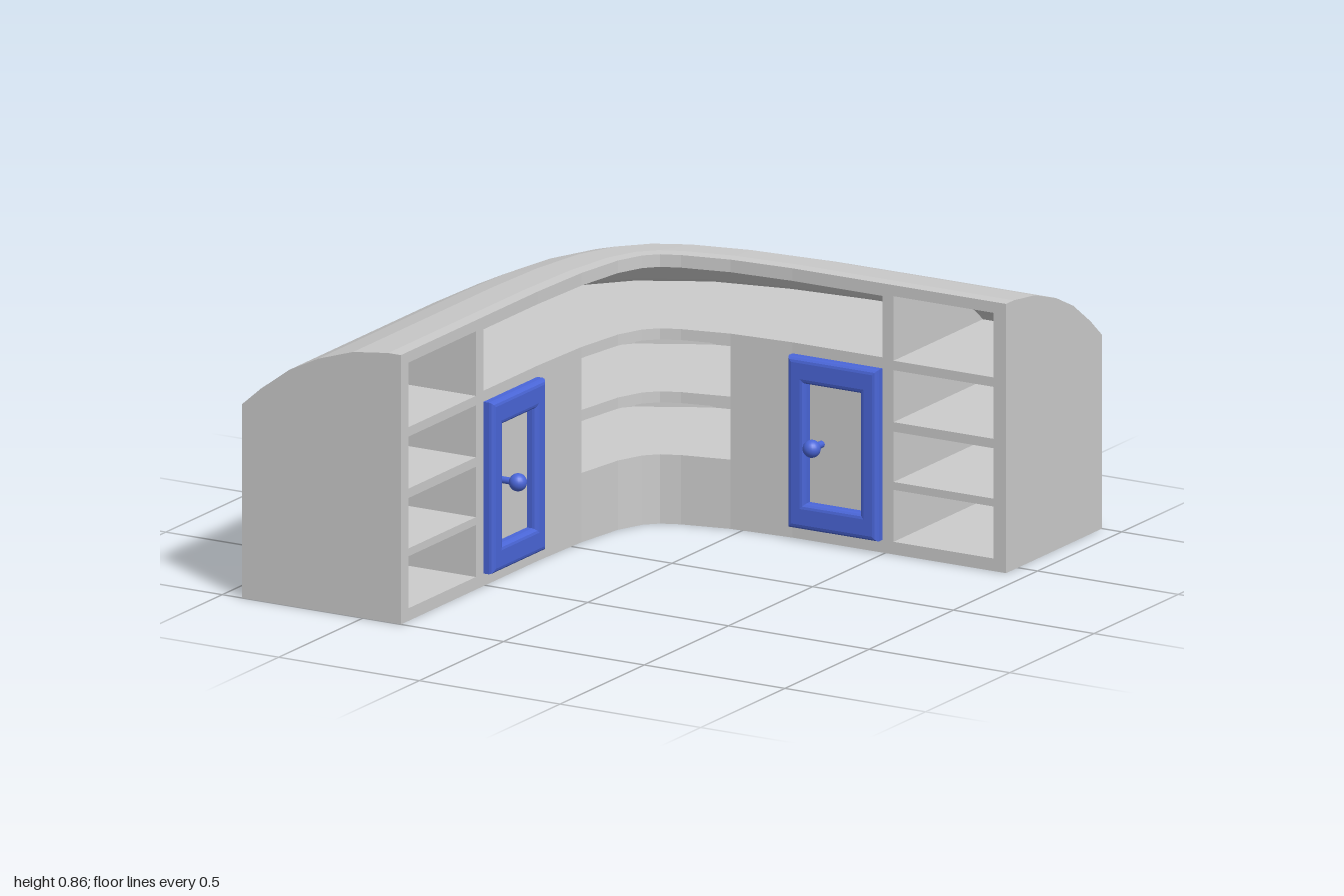
import * as THREE from 'three';

const grey = new THREE.MeshStandardMaterial({ color: 0xcccccc, flatShading: true, side: THREE.DoubleSide });
const blue = new THREE.MeshStandardMaterial({ color: 0x4a66d8 });

// Plan stations along the counter: [front x, front z, back x, back z]
const stations = [
  ...[1, 0.955, 0.555, 0.51].map(z => [-0.365, z, -0.93, z]),
  [-0.365, 0.19, -0.93, 0.13],
  [-0.355, -0.055, -0.92, -0.125],
  [-0.33, -0.23, -0.88, -0.375],
  [-0.295, -0.315, -0.785, -0.605],
  [-0.255, -0.355, -0.615, -0.795],
  [-0.195, -0.38, -0.395, -0.915],
  [-0.04, -0.415, -0.14, -0.97],
  [0.17, -0.43, 0.135, -0.995],
  ...[0.49, 0.53, 0.885, 0.93].map(x => [x, -0.43, x, -1]),
];
const last = stations.length - 1;

// Section points are [t, y], with t = 0 at the back and t = 1 at the front
const roof = [[1, 0.855], [0.92, 0.855], [0.7, 0.84], [0.48, 0.8], [0.3, 0.75], [0.12, 0.675], [0, 0.615]];
const backT = 0.07;

function point(i, [t, y]) {
  const [fx, fz, bx, bz] = stations[i];
  return [bx + (fx - bx) * t, y, bz + (fz - bz) * t];
}

// Sweeps a section between two stations, optionally closing both ends
function sweep(section, from, to, capped, out) {
  for (let i = from; i < to; i++) {
    for (let k = 0; k < section.length - 1; k++) {
      const a = point(i, section[k]), b = point(i + 1, section[k]);
      const c = point(i + 1, section[k + 1]), d = point(i, section[k + 1]);
      out.push(...a, ...b, ...c, ...a, ...c, ...d);
    }
  }
  if (!capped) return;
  for (let k = 1; k < section.length - 1; k++) {
    const tri = [section[0], section[k], section[k + 1]];
    tri.forEach(p => out.push(...point(from, p)));
    tri.reverse().forEach(p => out.push(...point(to, p)));
  }
}

function surface(name, positions) {
  const geometry = new THREE.BufferGeometry();
  geometry.setAttribute('position', new THREE.Float32BufferAttribute(positions, 3));
  geometry.computeVertexNormals();
  const mesh = new THREE.Mesh(geometry, grey);
  mesh.name = name;
  return mesh;
}

// Recesses: station range and height range; arched ones follow the roof
const niches = [];
for (const [from, to] of [[1, 2], [13, 14]]) {
  niches.push({ name: 'shelf', from, to, y0: 0.04, y1: 0.205 });
  niches.push({ name: 'shelf', from, to, y0: 0.23, y1: 0.39 });
  niches.push({ name: 'shelf', from, to, y0: 0.42, y1: 0.585 });
  niches.push({ name: 'topShelf', from, to, y0: 0.615, y1: 0.82, arched: true });
}
niches.push({ name: 'longTopNiche', from: 3, to: 12, y0: 0.62, y1: 0.815, arched: true });
niches.push({ name: 'cornerNiche', from: 5, to: 10, y0: 0.22, y1: 0.385 });
niches.push({ name: 'cornerNiche', from: 5, to: 10, y0: 0.42, y1: 0.585 });

function nicheSection({ y0, y1, arched }) {
  if (!arched) return [[1, y0], [backT, y0], [backT, y1], [1, y1]];
  const ceiling = roof.slice(2, -1).reverse().map(([t, y]) => [t, y - 0.855 + y1]);
  return [[1, y0], [backT, y0], ...ceiling, [1, y1]];
}

// Framed door with a round knob, facing +z around its own centre
function makeDoor() {
  const door = new THREE.Group();
  door.name = 'door';
  const bevel = 0.016;
  const rect = (Type, w, h) => {
    const path = new Type();
    path.moveTo(-w / 2, -h / 2);
    path.lineTo(w / 2, -h / 2);
    path.lineTo(w / 2, h / 2);
    path.lineTo(-w / 2, h / 2);
    path.closePath();
    return path;
  };
  const shape = rect(THREE.Shape, 0.32 - 2 * bevel, 0.545 - 2 * bevel);
  shape.holes.push(rect(THREE.Path, 0.195 + 2 * bevel, 0.38 + 2 * bevel));
  const frameGeometry = new THREE.ExtrudeGeometry(shape, {
    depth: 0.02, bevelThickness: bevel, bevelSize: bevel, bevelSegments: 3,
  });
  const frame = new THREE.Mesh(frameGeometry, blue);
  frame.name = 'doorFrame';
  frame.position.z = -0.001;

  const knob = new THREE.Mesh(new THREE.SphereGeometry(0.028, 20, 14), blue);
  knob.name = 'doorKnob';
  knob.position.set(-0.055, 0, 0.06);
  const stem = new THREE.Mesh(new THREE.CylinderGeometry(0.011, 0.011, 0.05, 12), blue);
  stem.name = 'knobStem';
  stem.rotation.x = Math.PI / 2;
  stem.position.set(-0.055, 0, 0.025);
  door.add(frame, knob, stem);
  return door;
}

export function createModel() {
  const model = new THREE.Group();
  model.name = 'cornerCounter';

  // Rounded roof, back wall, base and the two end panels
  const shell = [];
  sweep([...roof, [0, 0], [1, 0]], 0, last, true, shell);
  model.add(surface('outerShell', shell));

  // Front face, leaving the recesses open
  const face = [];
  for (let i = 0; i < last; i++) {
    let y = 0;
    const open = niches.filter(n => n.from <= i && i < n.to).sort((a, b) => a.y0 - b.y0);
    for (const n of open) {
      sweep([[1, y], [1, n.y0]], i, i + 1, false, face);
      y = n.y1;
    }
    sweep([[1, y], [1, 0.855]], i, i + 1, false, face);
  }
  model.add(surface('frontFace', face));

  // Recess interiors
  for (const n of niches) {
    const inside = [];
    sweep(nicheSection(n), n.from, n.to, true, inside);
    model.add(surface(n.name, inside));
  }

  // One door on each arm
  const backDoor = makeDoor();
  backDoor.position.set(0.33, 0.3125, -0.43);
  const sideDoor = makeDoor();
  sideDoor.position.set(-0.365, 0.3125, 0.35);
  sideDoor.rotation.y = Math.PI / 2;
  model.add(backDoor, sideDoor);

  return model;
}
